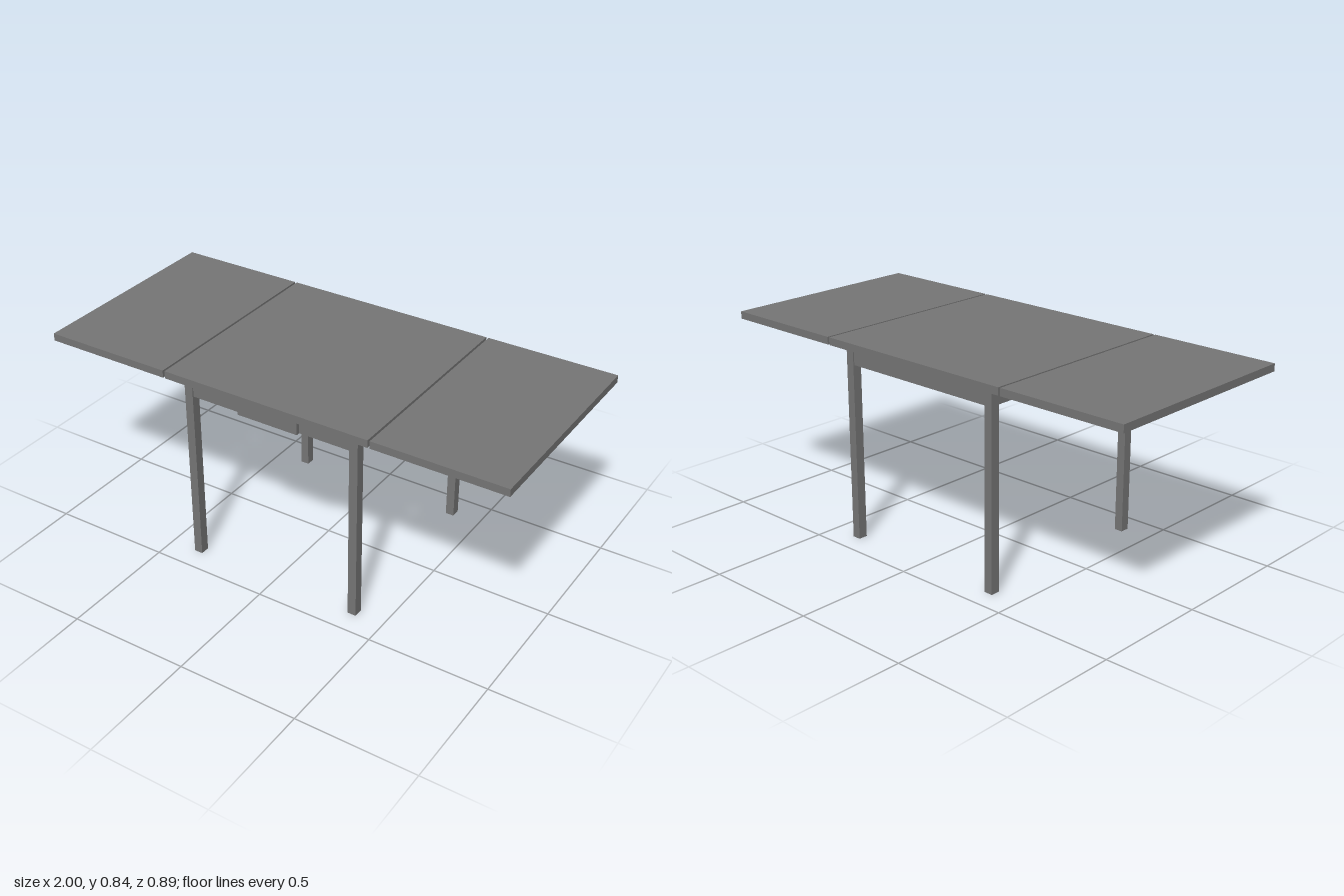
import * as THREE from 'three';

export function createModel() {
  const table = new THREE.Group();
  table.name = 'extendingTable';
  const material = new THREE.MeshStandardMaterial({ color: 0x767676 });

  // Box given by its lower and upper limits on each axis
  function addBox(name, [x0, x1], [y0, y1], [z0, z1]) {
    const mesh = new THREE.Mesh(new THREE.BoxGeometry(x1 - x0, y1 - y0, z1 - z0), material);
    mesh.position.set((x0 + x1) / 2, (y0 + y1) / 2, (z0 + z1) / 2);
    mesh.name = name;
    table.add(mesh);
  }

  const underside = 0.808, topY = 0.839, apronBottom = 0.738, halfDepth = 0.447;
  const legX = 0.385, legZ = 0.411, legWidth = 0.036, legDepth = 0.039;
  const frameZ = -0.002; // the frame sits a touch behind the centre of the top

  // Fixed centre top
  addBox('centreTop', [-0.447, 0.447], [underside, topY], [-halfDepth, halfDepth]);

  // Closed apron box, set in from the outer faces of the legs
  const insetX = 0.01, insetZ = 0.005;
  addBox('apron', [-legX + insetX, legX - insetX], [apronBottom, underside],
    [frameZ - legZ + insetZ, frameZ + legZ - insetZ]);

  // Drawer front, slightly proud of the apron
  addBox('drawerFront', [-0.132, 0.132], [apronBottom, 0.803], [0.4, 0.42]);

  for (const [side, sx] of [['left', 1], ['right', -1]]) {
    // Extension leaf, separated from the centre by a narrow gap
    addBox(side + 'Leaf', sx > 0 ? [0.456, 1] : [-1, -0.456], [underside, topY], [-halfDepth, halfDepth]);

    // Square legs
    for (const [end, sz] of [['Front', 1], ['Back', -1]]) {
      const x = sx * (legX - legWidth / 2), z = frameZ + sz * (legZ - legDepth / 2);
      addBox(side + end + 'Leg', [x - legWidth / 2, x + legWidth / 2], [0, underside],
        [z - legDepth / 2, z + legDepth / 2]);
    }
  }
  return table;
}
